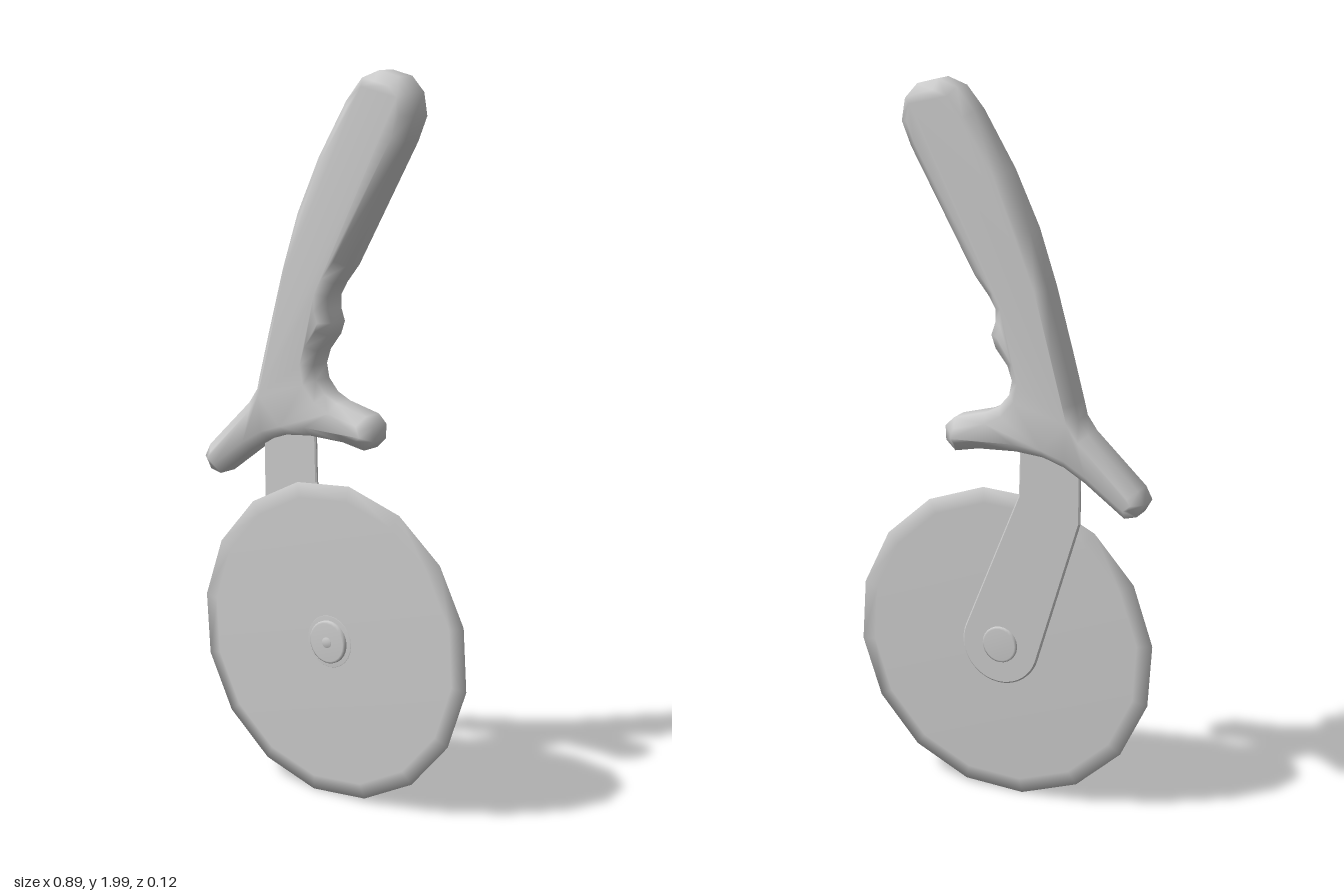
import * as THREE from 'three';
import { mergeVertices } from 'three/addons/utils/BufferGeometryUtils.js';

const material = new THREE.MeshStandardMaterial({ color: 0xcccccc });
const HUB_Y = 0.45;

// Weld vertices so that chamfers shade smoothly
function smooth(geometry) {
  geometry.deleteAttribute('uv');
  geometry.deleteAttribute('normal');
  const welded = mergeVertices(geometry, 1e-4);
  welded.computeVertexNormals();
  return welded;
}

// Chamfered plate whose outer outline is the shape, from z0 to z1
function plate(shape, z0, z1, chamfer, chamferDepth) {
  const geometry = new THREE.ExtrudeGeometry(shape, {
    depth: z1 - z0 - 2 * chamferDepth, curveSegments: 14,
    bevelSize: chamfer, bevelThickness: chamferDepth, bevelOffset: -chamfer, bevelSegments: 1,
  });
  return geometry.translate(0, 0, z0 + chamferDepth);
}

// Disc turned about the z axis through the hub; profile is [radius, z], back to front
function disc(profile, sides, phase = 0) {
  const points = profile.map(([r, z]) => new THREE.Vector2(r, z));
  return new THREE.LatheGeometry(points, sides, phase).rotateX(Math.PI / 2).translate(0, HUB_Y, 0);
}

export function createModel() {
  const group = new THREE.Group();
  const add = (name, geometry) => {
    const mesh = new THREE.Mesh(geometry, material);
    mesh.name = name;
    group.add(mesh);
  };

  // Handle with finger grips and a two-sided guard
  const outline = [
    [0.165, 2.0], [0.225, 1.985], [0.262, 1.945], [0.272, 1.885], [0.245, 1.82],
    [0.06, 1.49], [0.02, 1.44], [0.0, 1.405], [0.0, 1.37], [0.012, 1.335], [0.0, 1.3],
    [-0.035, 1.255], [-0.048, 1.215], [-0.04, 1.175], [-0.01, 1.14], [0.03, 1.12],
    [0.125, 1.095], [0.15, 1.07], [0.148, 1.03], [0.12, 1.003], [0.05, 1.017],
    [-0.06, 1.022], [-0.14, 1.015], [-0.2, 0.995], [-0.26, 0.96], [-0.375, 0.876],
    [-0.41, 0.885], [-0.43, 0.92], [-0.412, 0.955], [-0.27, 1.09], [-0.242, 1.13],
    [-0.232, 1.17], [-0.2, 1.29], [-0.15, 1.47], [-0.1, 1.62], [-0.03, 1.77],
    [0.06, 1.92], [0.11, 1.98],
  ];
  const handle = new THREE.Shape(outline.map(([x, y]) => new THREE.Vector2(x, y)));
  add('handle', smooth(plate(handle, -0.06, 0.055, 0.026, 0.027)));

  // Bent strap running from the handle down behind the blade
  const tilt = THREE.MathUtils.degToRad(20);
  const strap = new THREE.Shape();
  strap.moveTo(-0.235, 1.1);
  strap.lineTo(-0.235, 0.83);
  strap.absarc(0, HUB_Y, 0.115, tilt + Math.PI, tilt + 2 * Math.PI, false);
  strap.lineTo(-0.055, 0.89);
  strap.lineTo(-0.06, 1.1);
  add('strap', plate(strap, -0.004, 0.007, 0.004, 0.003));

  // Sixteen-sided blade with a sharpened rim
  const phase = THREE.MathUtils.degToRad(14.8);
  add('blade', smooth(disc(
    [[0, 0.007], [0.405, 0.007], [0.448, 0.014], [0.405, 0.021], [0, 0.021]], 16, phase)));

  // Washer, rivet head and pin on the front, rivet head on the back
  add('washer', disc([[0.075, 0.019], [0.072, 0.023], [0, 0.024]], 24));
  add('frontRivet', disc([[0.06, 0.02], [0.06, 0.03], [0.054, 0.034], [0, 0.034]], 24));
  add('pin', disc([[0.015, 0.03], [0.015, 0.036], [0, 0.036]], 16));
  add('backRivet', disc([[0, -0.011], [0.046, -0.011], [0.052, -0.008], [0.052, 0.002]], 24));

  return group;
}
